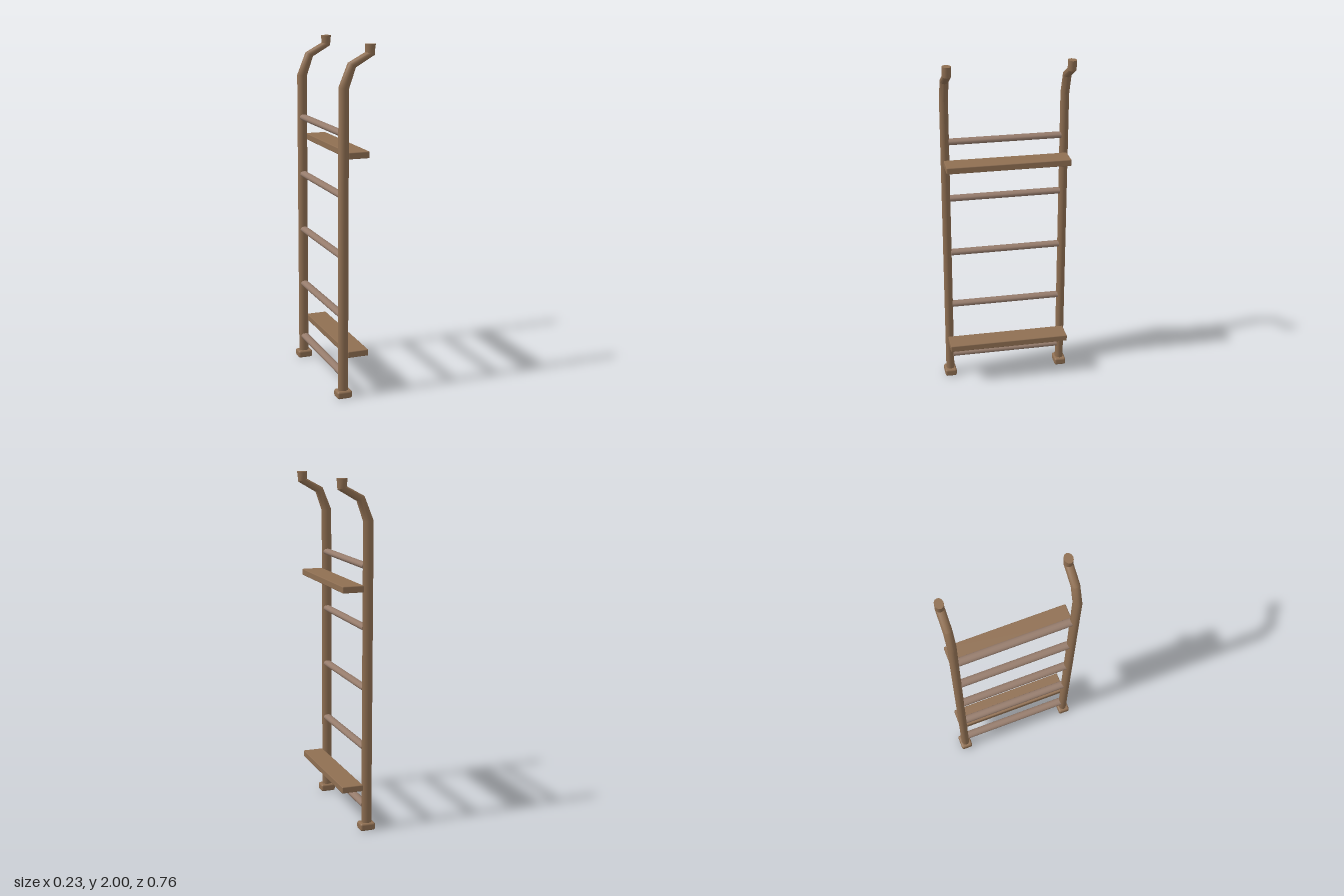
import * as THREE from 'three';
import { toCreasedNormals } from 'three/addons/utils/BufferGeometryUtils.js';
import { RoundedBoxGeometry } from 'three/addons/geometries/RoundedBoxGeometry.js';

const RAIL_X = -0.07, RAIL_Z = 0.345, SIDES = 12;

// Rail cross-sections: centre x, centre y, half-width vector x, y
const railSections = [
  [RAIL_X, 0.02, 0.03, 0],
  [RAIL_X, 1.768, 0.03, -0.003],
  [-0.024, 1.89, 0.022, -0.013],
  [0.08, 1.948, 0.027, -0.008],
  [0.081, 1.975, 0.028, 0],
  [0.082, 2.0, 0.031, 0],
];

// Skins the elliptical sections into one closed tube
function railGeometry() {
  const pos = [], index = [];
  for (const [cx, cy, ux, uy] of railSections) {
    for (let i = 0; i < SIDES; i++) {
      const a = (i / SIDES) * Math.PI * 2, c = Math.cos(a);
      pos.push(cx + ux * c, cy + uy * c, 0.025 * Math.sin(a));
    }
  }
  const last = railSections.length - 1;
  for (let s = 0; s < last; s++) {
    for (let i = 0; i < SIDES; i++) {
      const a = s * SIDES + i, b = s * SIDES + (i + 1) % SIDES;
      index.push(a, a + SIDES, b, b, a + SIDES, b + SIDES);
    }
  }
  // End caps
  for (let i = 1; i < SIDES - 1; i++) {
    const t = last * SIDES;
    index.push(t, t + i + 1, t + i, 0, i, i + 1);
  }
  const geo = new THREE.BufferGeometry();
  geo.setAttribute('position', new THREE.Float32BufferAttribute(pos, 3));
  geo.setIndex(index);
  return toCreasedNormals(geo, 0.68);
}

export function createModel() {
  const model = new THREE.Group();
  model.name = 'ladder';

  const wood = new THREE.MeshStandardMaterial({ color: 0x8f6f52 });
  wood.name = 'brown wood';
  const rungWood = new THREE.MeshStandardMaterial({ color: 0x967c6c });
  rungWood.name = 'greyish rung wood';

  const add = (name, geo, mat, x, y, z) => {
    const mesh = new THREE.Mesh(geo, mat);
    mesh.name = name;
    mesh.position.set(x, y, z);
    model.add(mesh);
  };

  // Side rails with hooked tops, and their feet
  const rail = railGeometry();
  const foot = new RoundedBoxGeometry(0.09, 0.045, 0.07, 2, 0.012);
  for (const [side, s] of [['front', 1], ['back', -1]]) {
    add(side + 'Rail', rail, wood, 0, 0, s * RAIL_Z);
    add(side + 'Foot', foot, wood, -0.069, 0.0225, s * RAIL_Z);
  }

  // Oval rungs
  const rung = new THREE.CylinderGeometry(1, 1, 0.65, SIDES);
  rung.rotateX(Math.PI / 2);
  rung.scale(0.025, 0.018, 1);
  for (let i = 0; i < 5; i++) {
    add('rung' + (i + 1), rung, rungWood, -0.068, 0.14 + i * 0.345, 0);
  }

  // Flat steps
  const step = new RoundedBoxGeometry(0.125, 0.038, 0.714, 1, 0.005);
  add('lowerStep', step, wood, 0.018, 0.254, 0);
  add('upperStep', step, wood, 0.018, 1.4, 0);

  return model;
}
